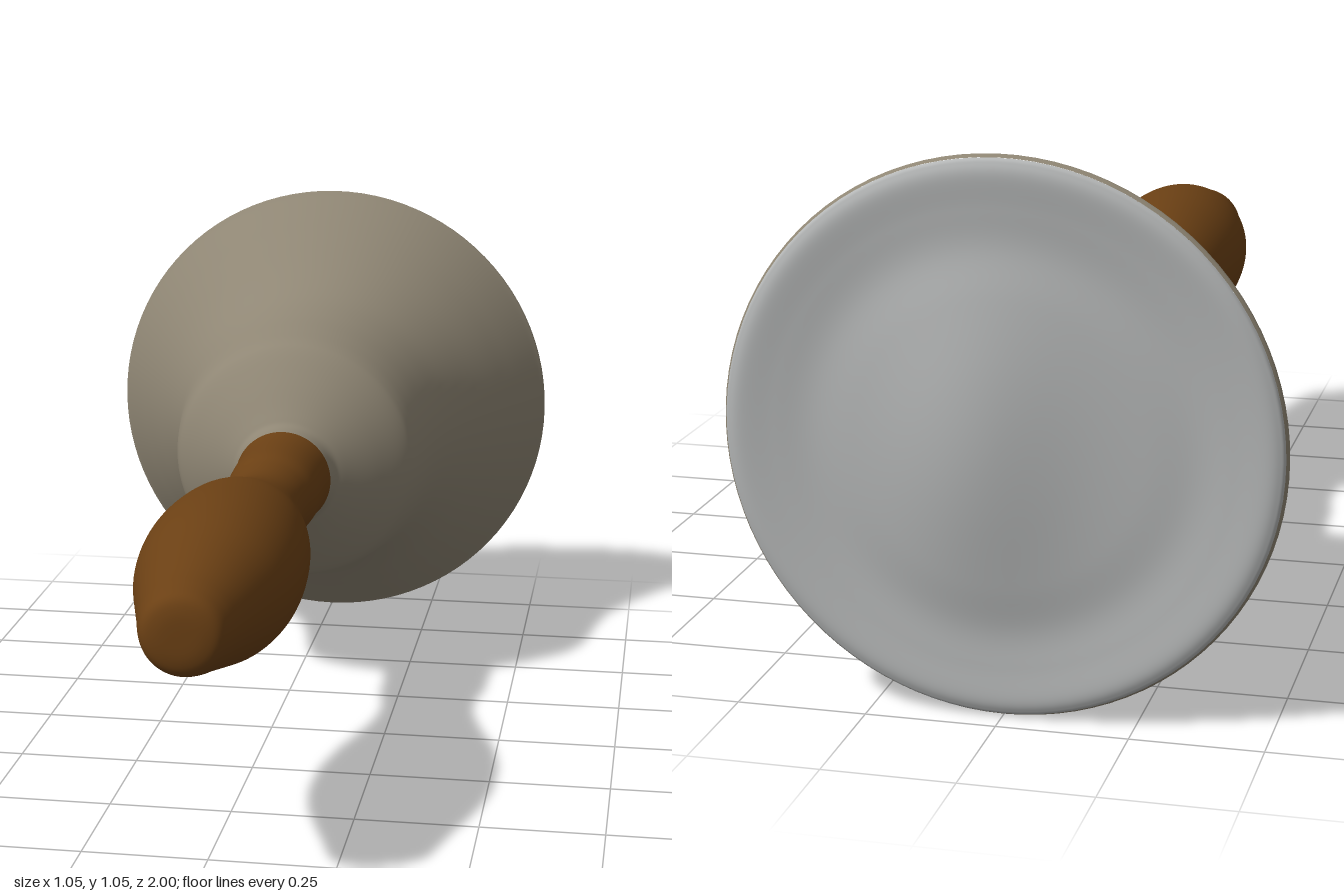
import * as THREE from 'three';
import { mergeVertices } from 'three/addons/utils/BufferGeometryUtils.js';

const AXIS_HEIGHT = 0.527;

// Turned solid along z from [radius, z] points running back to front.
function turned(name, profile, color, steps, reshape) {
  const curve = new THREE.SplineCurve(profile.map(([r, z]) => new THREE.Vector2(r, z)));
  const points = curve.getPoints(steps).map((p) => p.setX(Math.max(p.x, 0)));
  let geometry = new THREE.LatheGeometry(points, 96);
  geometry.rotateX(Math.PI / 2);
  geometry.deleteAttribute('uv');
  geometry.deleteAttribute('normal');
  geometry = mergeVertices(geometry, 1e-4);
  if (reshape) {
    const pos = geometry.attributes.position;
    for (let i = 0; i < pos.count; i++) {
      pos.setZ(i, pos.getZ(i) + reshape(pos.getX(i), pos.getY(i)));
    }
  }
  geometry.computeVertexNormals();
  const mesh = new THREE.Mesh(geometry, new THREE.MeshStandardMaterial({ color }));
  mesh.name = name;
  mesh.position.y = AXIS_HEIGHT;
  return mesh;
}

export function createModel() {
  const group = new THREE.Group();
  group.name = 'handBell';

  // Flared bell body with a rounded shoulder
  group.add(turned('bellBody', [
    [0.522, -0.948], [0.527, -0.937], [0.515, -0.92], [0.475, -0.86], [0.435, -0.8],
    [0.373, -0.7], [0.328, -0.6], [0.303, -0.5], [0.287, -0.4], [0.274, -0.335],
    [0.255, -0.3], [0.2, -0.25], [0.135, -0.2], [0.113, -0.18], [0.106, -0.15],
  ], 0x8f8674, 90));

  // Closed mouth: rolled lip, shallow ring groove and an uneven bulge in the middle
  const bulge = (x, y) => -0.044 * Math.exp(-(((x - 0.05) / 0.17) ** 2) - (y / 0.3) ** 2);
  group.add(turned('bellMouth', [
    [0, -0.956], [0.15, -0.956], [0.27, -0.953], [0.36, -0.947], [0.43, -0.953],
    [0.49, -0.96], [0.515, -0.955], [0.522, -0.948],
  ], 0xb4b6b6, 60, bulge));

  // Turned wooden handle with a swelling grip
  group.add(turned('handle', [
    [0.112, -0.19], [0.106, -0.15], [0.102, -0.1], [0.099, 0], [0.09, 0.06],
    [0.087, 0.13], [0.095, 0.2], [0.118, 0.3], [0.144, 0.4], [0.157, 0.5],
    [0.16, 0.6], [0.15, 0.7], [0.126, 0.8], [0.1, 0.9], [0.088, 0.95],
    [0.074, 0.985], [0.045, 0.998], [0, 1],
  ], 0x6b4014, 100));

  return group;
}
